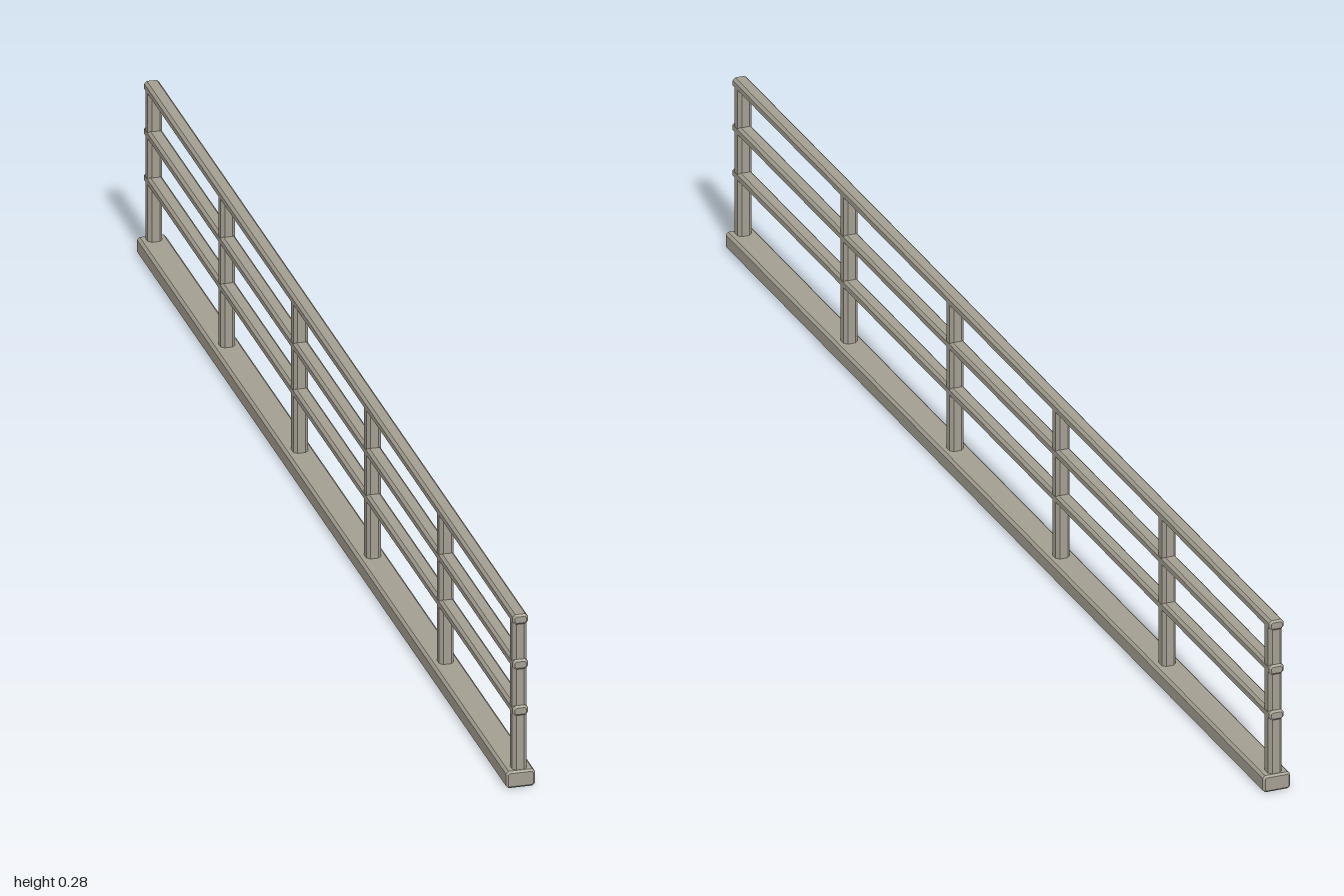
import * as THREE from 'three';

// Bar along z with chamfered long edges and chamfered ends, centred on the origin
function chamferedBar(w, h, length, c) {
  const x = w / 2, y = h / 2;
  const shape = new THREE.Shape([
    [x - c, -y], [x, -y + c], [x, y - c], [x - c, y],
    [-x + c, y], [-x, y - c], [-x, -y + c], [-x + c, -y],
  ].map(([a, b]) => new THREE.Vector2(a, b)));
  const e = 0.003;
  const geo = new THREE.ExtrudeGeometry(shape, {
    depth: length - 2 * e, bevelEnabled: true, bevelSegments: 1,
    bevelThickness: e, bevelSize: e, bevelOffset: -e,
  });
  return geo.translate(0, 0, e - length / 2);
}

export function createModel() {
  const group = new THREE.Group();
  group.name = 'railing';
  const metal = new THREE.MeshStandardMaterial({ color: 0xa39e91, flatShading: true });
  metal.name = 'warm grey';

  const add = (name, geo, y, z = 0) => {
    const mesh = new THREE.Mesh(geo, metal);
    mesh.name = name;
    mesh.position.set(0, y, z);
    group.add(mesh);
  };

  // Long kerb at the foot
  add('base', chamferedBar(0.044, 0.027, 2, 0.004), 0.0135);

  // Six upright posts, evenly spaced
  const postBottom = 0.02, postTop = 0.274;
  const postGeo = chamferedBar(0.022, 0.022, postTop - postBottom, 0.005).rotateX(-Math.PI / 2);
  for (let i = 0; i < 6; i++) {
    add('post' + (i + 1), postGeo, (postBottom + postTop) / 2, -0.985 + i * 0.394);
  }

  // Three rails running just past the end posts
  const railGeo = chamferedBar(0.023, 0.016, 1.998, 0.004);
  add('lowerRail', railGeo, 0.122);
  add('middleRail', railGeo, 0.196);
  add('topRail', railGeo, 0.268);

  return group;
}
